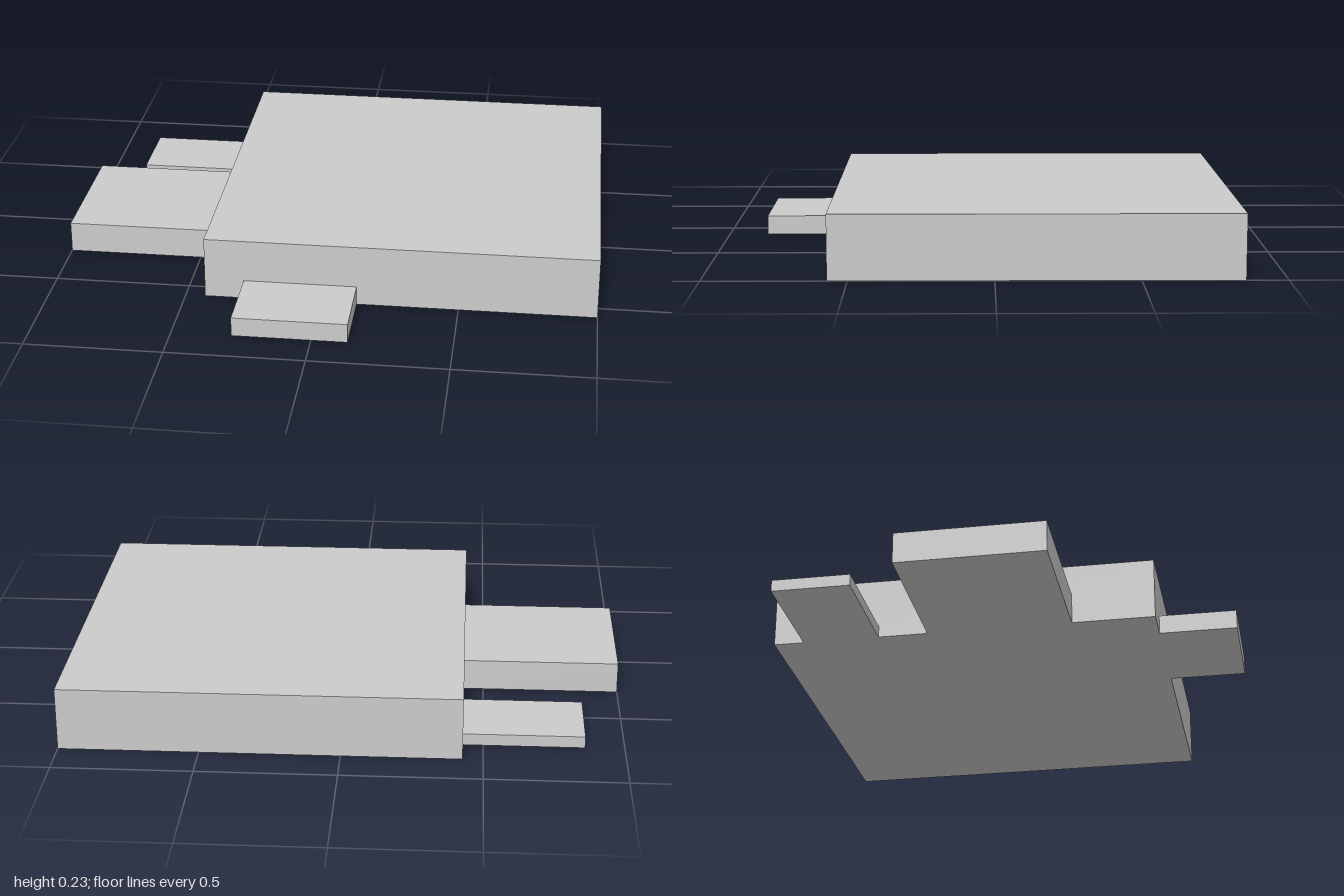
import * as THREE from 'three';

export function createModel() {
  const group = new THREE.Group();
  const material = new THREE.MeshStandardMaterial({ color: 0xcccccc, flatShading: true });

  // Slab resting on the ground, given by its x and z extents and its height
  function slab(name, x0, x1, z0, z1, height) {
    const mesh = new THREE.Mesh(new THREE.BoxGeometry(x1 - x0, height, z1 - z0), material);
    mesh.position.set((x0 + x1) / 2, height / 2, (z0 + z1) / 2);
    mesh.name = name;
    group.add(mesh);
  }

  // Main square platform
  slab('mainPlatform', -0.428, 1, -0.855, 0.57, 0.23);
  // Lower terraces against its right and front sides
  slab('rightTerrace', -1, -0.428, -0.273, 0.265, 0.115);
  slab('backRightStep', -0.86, -0.428, -0.743, -0.457, 0.043);
  slab('frontStep', -0.284, 0.13, 0.57, 0.855, 0.071);

  return group;
}
